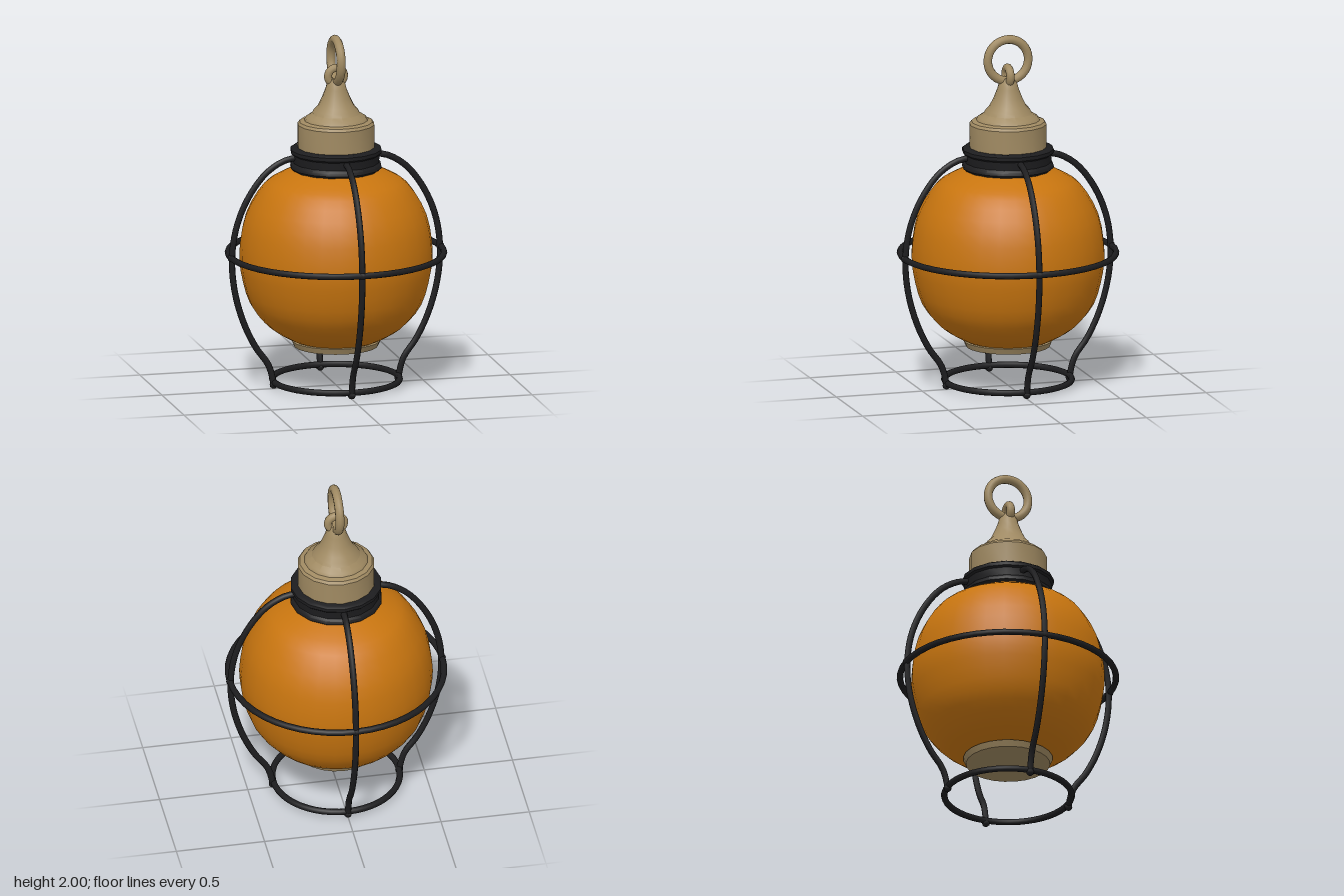
import * as THREE from 'three';
import { toCreasedNormals } from 'three/addons/utils/BufferGeometryUtils.js';

export function createModel() {
  const group = new THREE.Group();
  const mat = (name, color) => {
    const m = new THREE.MeshStandardMaterial({ color });
    m.name = name;
    return m;
  };
  const glass = mat('amber glass', 0xc8750f);
  const brass = mat('aged brass', 0xa08a62);
  const iron = mat('black iron', 0x1d1d1f);

  const add = (name, geometry, material, parent = group) => {
    const mesh = new THREE.Mesh(geometry, material);
    mesh.name = name;
    parent.add(mesh);
    return mesh;
  };
  const points = (list) => list.map(([x, y]) => new THREE.Vector2(x, y));
  const lathe = (list, sides, crease) =>
    toCreasedNormals(new THREE.LatheGeometry(points(list), sides), crease);

  // Glass globe, open under the collar and closed by the base plate
  const globeCurve = new THREE.SplineCurve(points([
    [0.2, 0.25], [0.28, 0.285], [0.385, 0.355], [0.48, 0.475], [0.528, 0.64],
    [0.538, 0.78], [0.505, 0.97], [0.415, 1.13], [0.32, 1.2], [0.2, 1.25],
  ]));
  add('globe', new THREE.LatheGeometry(globeCurve.getPoints(24), 32), glass);

  // Base plate below the globe
  add('basePlate', lathe([[0, 0.22], [0.2, 0.22], [0.235, 0.228], [0.25, 0.262], [0.2, 0.275]], 24, 0.5), brass);

  // Iron collar with two flanges
  add('collar', lathe([
    [0.17, 1.235], [0.24, 1.235], [0.258, 1.25], [0.254, 1.268], [0.242, 1.28],
    [0.245, 1.325], [0.256, 1.335], [0.256, 1.355], [0.24, 1.365], [0.17, 1.365],
  ], 16, 0.6), iron);

  // Stepped cap narrowing to the neck
  add('cap', lathe([
    [0.216, 1.35], [0.216, 1.495], [0.205, 1.51], [0.178, 1.518], [0.168, 1.535],
    [0.135, 1.555], [0.125, 1.575], [0.102, 1.6], [0.08, 1.645], [0.06, 1.695],
    [0.052, 1.725], [0.035, 1.755], [0, 1.762],
  ], 16, 0.6), brass);

  // Small eye on the neck, and the hanging ring passing through it
  add('eye', new THREE.TorusGeometry(0.046, 0.023, 10, 24), brass).position.y = 1.768;
  const ring = add('hangingRing', new THREE.TorusGeometry(0.118, 0.025, 10, 32), brass);
  ring.position.y = 1.857;
  ring.rotation.y = Math.PI / 2;

  // Cage: four bent bars with feet
  const cage = new THREE.Group();
  cage.name = 'cage';
  group.add(cage);
  const barCurve = new THREE.CatmullRomCurve3([
    [0.22, 1.315], [0.3, 1.298], [0.4, 1.235], [0.5, 1.105], [0.57, 0.94], [0.597, 0.76],
    [0.582, 0.57], [0.53, 0.385], [0.46, 0.24], [0.392, 0.145], [0.37, 0.085], [0.358, 0.02],
  ].map(([x, y]) => new THREE.Vector3(x, y, 0)));
  const barGeometry = new THREE.TubeGeometry(barCurve, 40, 0.018, 8);
  const footGeometry = new THREE.SphereGeometry(0.023, 8, 6);
  for (let i = 0; i < 4; i++) {
    const arm = new THREE.Group();
    arm.name = 'cageArm';
    arm.rotation.y = i * Math.PI / 2;
    cage.add(arm);
    add('bar', barGeometry, iron, arm);
    add('foot', footGeometry, iron, arm).position.set(0.358, 0.023, 0);
    add('joint', footGeometry, iron, arm).position.set(0.6, 0.76, 0);
  }

  // Horizontal hoops of the cage
  for (const [name, radius, y] of [['middleHoop', 0.602, 0.76], ['footHoop', 0.355, 0.036]]) {
    const hoop = add(name, new THREE.TorusGeometry(radius, 0.018, 8, 48), iron, cage);
    hoop.rotation.x = Math.PI / 2;
    hoop.position.y = y;
  }
  return group;
}
